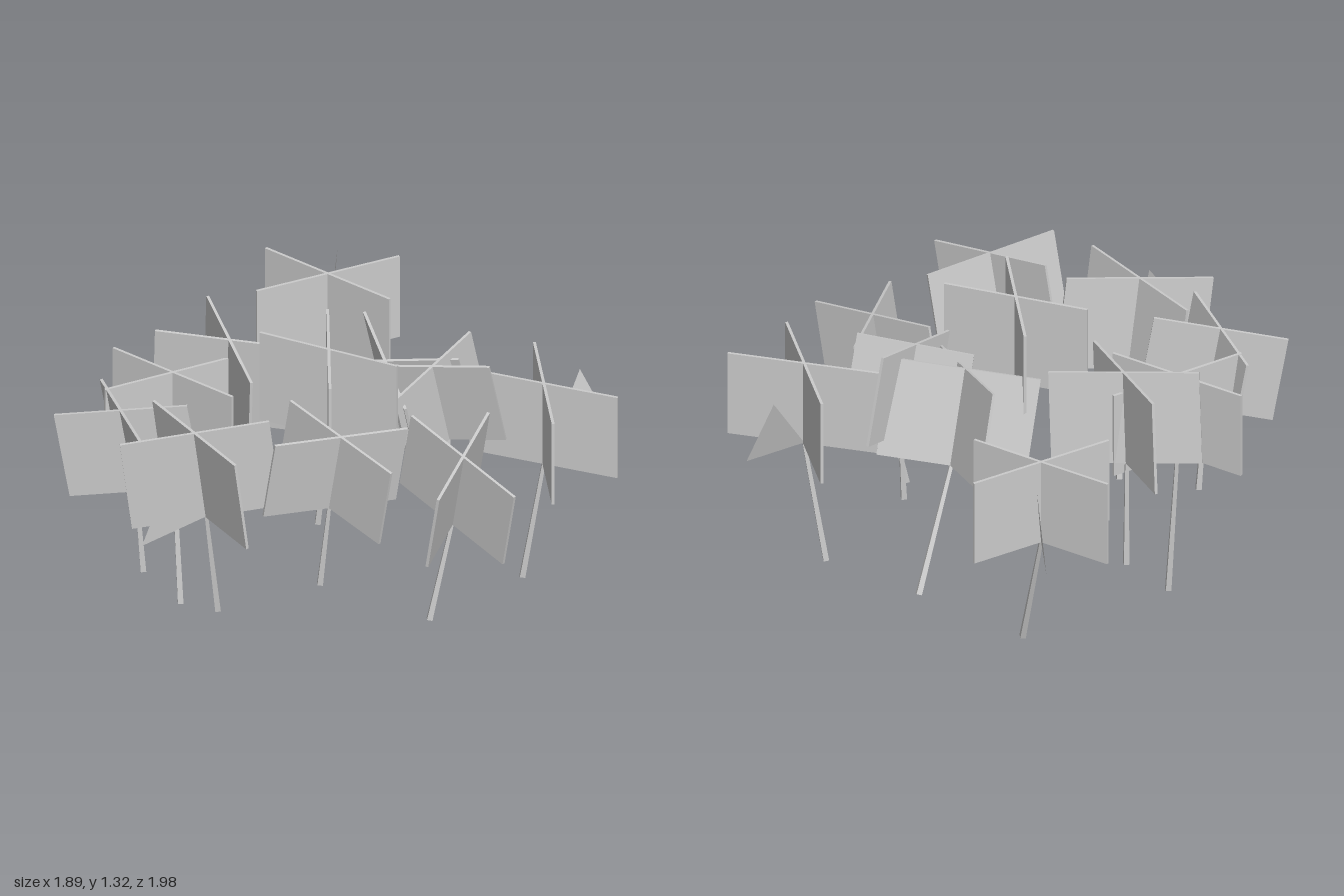
import * as THREE from 'three';

const material = new THREE.MeshStandardMaterial({ color: 0xcccccc, flatShading: true, side: THREE.DoubleSide });
const UP = new THREE.Vector3(0, 1, 0);
const THICK = 0.012;
const vec = (p) => new THREE.Vector3(...p);

// foot: stem base; base: where the leaves start; lean: x and z drift of the leaf axis;
// turns: heading of the two crossed leaves in degrees; blade: tip and peak of a drooping leaf
const plants = [
  { foot: [-0.46, 0.18, -0.62], base: [-0.61, 0.73, -0.70], lean: [0, 0], turns: [4, 67], length: 0.635,
    blade: [[-0.84, 0.80, -0.98], [-0.72, 1.10, -0.88]] },
  { foot: [0.52, 0.18, -0.62], base: [0.60, 0.73, -0.66], lean: [0, 0], turns: [-41, 22], length: 0.635,
    blade: [[0.64, 0.80, -1.0], [0.57, 1.05, -0.91]] },
  { foot: [0, 0.25, -0.70], base: [0.02, 0.73, -0.45], lean: [0.01, 0.115], turns: [-33, 33], rise: 0.4 },
  { foot: [-0.54, 0.25, -0.02], base: [-0.55, 0.74, -0.03], lean: [0.03, 0.02], turns: [-31, 32], rise: 0.41 },
  { foot: [-0.05, 0.47, -0.02], base: [0.01, 0.91, -0.02], lean: [0, 0], turns: [-47, 17], rise: 0.41 },
  { foot: [0.54, 0.25, -0.04], base: [0.59, 0.69, -0.12], lean: [0.07, 0.01], turns: [-4, -67], rise: 0.35 },
  { foot: [-0.56, 0, 0.24], base: [-0.62, 0.68, 0.22], lean: [0, 0], turns: [4, 68] },
  { foot: [-0.50, 0.31, 0.53], base: [-0.52, 0.69, 0.55], lean: [-0.05, 0.04], turns: [-31, 34], length: 0.55 },
  { foot: [-0.14, 0.25, 0.48], base: [-0.13, 0.735, 0.56], lean: [-0.02, 0.05], turns: [-15, 48], rise: 0.41,
    blade: [[-0.10, 0.80, 0.98], [-0.16, 1.16, 0.66]] },
  { foot: [0.27, 0.47, 0.32], base: [0.32, 0.855, 0.32], lean: [0.065, 0], turns: [-2, 63], length: 0.575, rise: 0.36 },
  { foot: [0.27, 0.47, -0.43], base: [0.265, 0.80, -0.46], lean: [-0.01, 0.09], turns: [-89, 29], length: 0.48 },
];

function mesh(geometry, name) {
  const m = new THREE.Mesh(geometry, material);
  m.name = name;
  return m;
}

// Square, slightly tapered stick from a to b
function stick(a, b) {
  const dir = b.clone().sub(a);
  const m = mesh(new THREE.CylinderGeometry(0.010, 0.016, dir.length(), 4), 'stem');
  m.position.copy(a).add(b).multiplyScalar(0.5);
  m.quaternion.setFromUnitVectors(UP, dir.normalize());
  return m;
}

function plant({ foot, base, lean, turns, blade, length = 0.61, rise = 0.38 }) {
  const group = new THREE.Group();
  group.name = 'plant';
  const start = vec(base);
  const axis = new THREE.Vector3(lean[0], rise, lean[1]);
  const height = axis.length();
  group.add(stick(vec(foot), start));

  // Crossed leaves tilted together along the axis
  const leaves = new THREE.Group();
  leaves.name = 'crossedLeaves';
  leaves.position.copy(start);
  leaves.quaternion.setFromUnitVectors(UP, axis.normalize());
  for (const turn of turns) {
    const leaf = mesh(new THREE.BoxGeometry(length, height, THICK), 'leaf');
    leaf.position.y = height / 2;
    leaf.rotation.y = THREE.MathUtils.degToRad(turn);
    leaves.add(leaf);
  }
  group.add(leaves);

  // Drooping triangular leaf
  if (blade) {
    const triangle = new THREE.BufferGeometry().setFromPoints([...blade, base].map(vec));
    triangle.computeVertexNormals();
    group.add(mesh(triangle, 'droopingLeaf'));
  }
  return group;
}

export function createModel() {
  const model = new THREE.Group();
  model.name = 'plantCluster';
  for (const p of plants) model.add(plant(p));
  return model;
}
